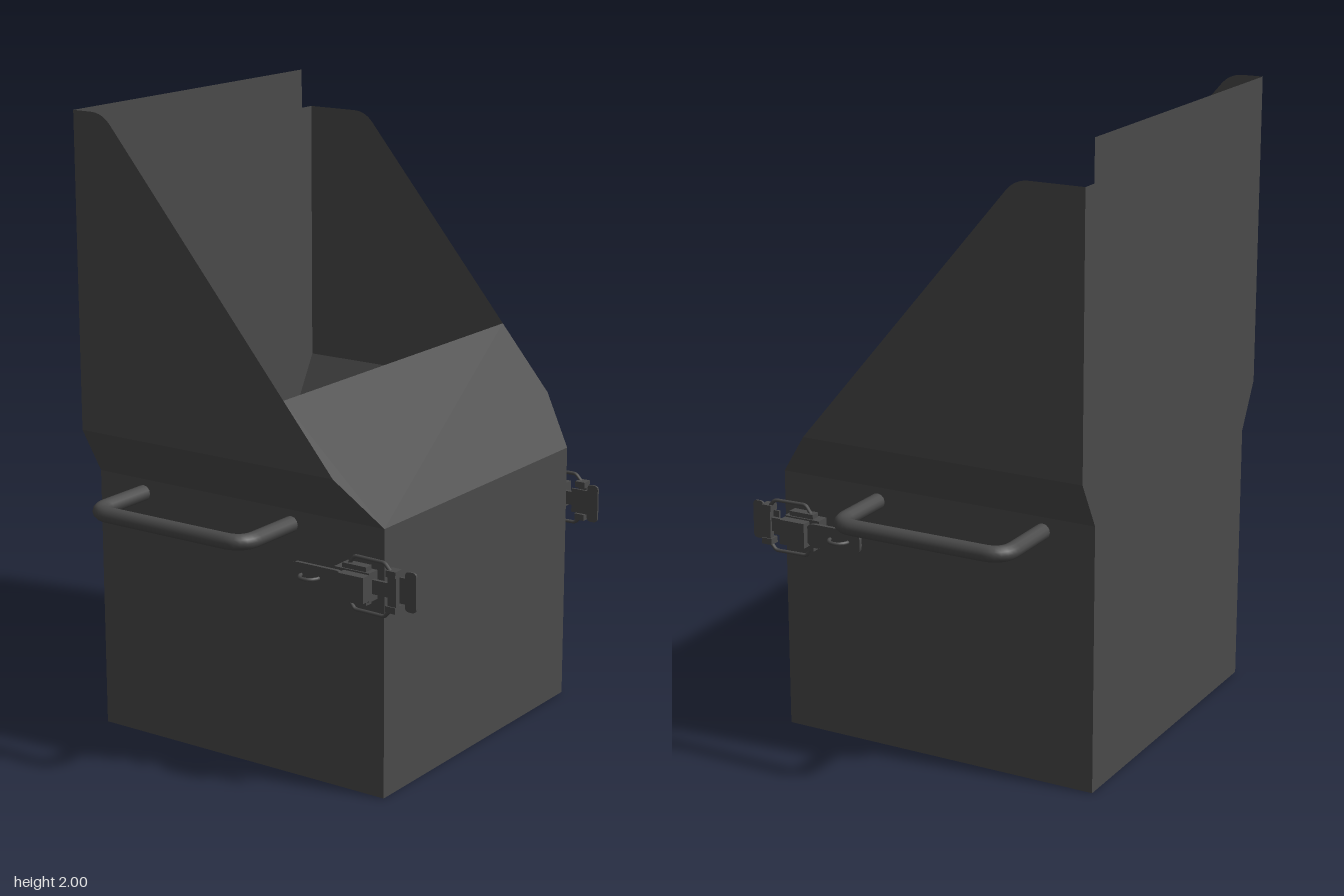
import * as THREE from 'three';

const sheetMat = new THREE.MeshStandardMaterial({ color: 0x4a4a4a, side: THREE.DoubleSide });
const metalMat = new THREE.MeshStandardMaterial({ color: 0x4a4a4a });

// Main dimensions
const BACK = -0.6, FRONT = 0.48;
const ZIN = 0.532, ZOUT = 0.615;      // half widths below and above the flare
const Y1 = 0.85, Y2 = 1.0, YLIP = 1.21;
const SLOPE = 1.19;
const slopeX = (y) => FRONT - (y - Y1) / SLOPE;

// Flat convex sheet from its corners
function sheet(name, pts) {
  const pos = [];
  for (let i = 1; i < pts.length - 1; i++) pos.push(...pts[0], ...pts[i], ...pts[i + 1]);
  const g = new THREE.BufferGeometry();
  g.setAttribute('position', new THREE.Float32BufferAttribute(pos, 3));
  g.computeVertexNormals();
  const m = new THREE.Mesh(g, sheetMat);
  m.name = name;
  return m;
}

// Side wall: straight base, outward flare, sloped upper part with a rounded corner
function sideWall(s, top) {
  const g = new THREE.Group();
  g.name = s > 0 ? 'frontSideWall' : 'rearSideWall';
  const face = (name, pts) => g.add(sheet(name, s > 0 ? pts : pts.reverse()));
  const a = s * ZIN, b = s * ZOUT;
  face('sideBase', [[BACK, 0, a], [FRONT, 0, a], [FRONT, Y1, a], [BACK, Y1, a]]);
  face('sideFlare', [[BACK, Y1, a], [FRONT, Y1, a], [slopeX(Y2), Y2, b], [BACK, Y2, b]]);
  const cx = slopeX(top);
  const corner = new THREE.QuadraticBezierCurve(
    new THREE.Vector2(cx + 0.03, top - 0.03 * SLOPE),
    new THREE.Vector2(cx, top),
    new THREE.Vector2(cx - 0.045, top));
  const round = corner.getPoints(8).map((p) => [p.x, p.y, b]);
  face('sideUpper', [[BACK, Y2, b], [slopeX(Y2), Y2, b], ...round, [BACK, top, b]]);
  return g;
}

function box(name, x0, x1, y0, y1, z0, z1) {
  const m = new THREE.Mesh(new THREE.BoxGeometry(x1 - x0, y1 - y0, z1 - z0), metalMat);
  m.position.set((x0 + x1) / 2, (y0 + y1) / 2, (z0 + z1) / 2);
  m.name = name;
  return m;
}

// Rod along a path with rounded bends
function rod(name, pts, radius, bend, sides = 12) {
  const v = pts.map((p) => new THREE.Vector3(...p));
  const path = new THREE.CurvePath();
  let last = v[0];
  for (let i = 1; i < v.length - 1; i++) {
    const a = v[i].clone().add(v[i - 1].clone().sub(v[i]).setLength(bend));
    const b = v[i].clone().add(v[i + 1].clone().sub(v[i]).setLength(bend));
    path.add(new THREE.LineCurve3(last, a));
    path.add(new THREE.QuadraticBezierCurve3(a, v[i], b));
    last = b;
  }
  path.add(new THREE.LineCurve3(last, v[v.length - 1]));
  const m = new THREE.Mesh(new THREE.TubeGeometry(path, 72, radius, sides, false), metalMat);
  m.name = name;
  return m;
}

// Plate drawn in x/y and given thickness along z
function plate(name, shape, z, depth) {
  const g = new THREE.ExtrudeGeometry(shape, { depth, bevelEnabled: false, curveSegments: 10 });
  const m = new THREE.Mesh(g, metalMat);
  m.position.z = z;
  m.name = name;
  return m;
}

function roundRect(x0, x1, y0, y1, r) {
  const s = new THREE.Shape();
  s.moveTo(x0 + r, y0);
  s.lineTo(x1 - r, y0).quadraticCurveTo(x1, y0, x1, y0 + r);
  s.lineTo(x1, y1 - r).quadraticCurveTo(x1, y1, x1 - r, y1);
  s.lineTo(x0 + r, y1).quadraticCurveTo(x0, y1, x0, y1 - r);
  s.lineTo(x0, y0 + r).quadraticCurveTo(x0, y0, x0 + r, y0);
  return s;
}

// Toggle latch on the +z side
function latch() {
  const g = new THREE.Group();
  const y = 0.675;
  g.add(box('latchBase', 0.33, 0.455, y - 0.045, y + 0.045, ZIN, 0.575));
  g.add(box('latchBody', 0.365, 0.455, y - 0.04, y + 0.04, 0.575, 0.607));
  // Lever with rounded finger end
  g.add(plate('latchLever', roundRect(0.175, 0.37, y - 0.037, y + 0.037, 0.03), 0.575, 0.012));
  // Padlock eye standing on the lever
  const eye = new THREE.Mesh(new THREE.TorusGeometry(0.032, 0.006, 8, 20), metalMat);
  eye.rotation.x = Math.PI / 2;
  eye.position.set(0.25, y, 0.586);
  eye.name = 'latchEye';
  g.add(eye);
  // Bail wires, pivots and cross plate
  for (const s of [-1, 1]) {
    g.add(rod('latchBail', [[0.37, y + s * 0.055, 0.555], [0.39, y + s * 0.083, 0.555],
      [0.5, y + s * 0.083, 0.56], [0.525, y + s * 0.055, 0.56]], 0.006, 0.01, 8));
    g.add(box('latchPivot', 0.355, 0.44, y + s * 0.052 - 0.008, y + s * 0.052 + 0.008, 0.54, 0.57));
    g.add(box('catchEar', 0.51, 0.545, y + s * 0.055 - 0.01, y + s * 0.055 + 0.01, 0.537, 0.572));
  }
  g.add(box('latchHook', 0.515, 0.545, y - 0.06, y + 0.06, 0.55, 0.568));
  g.add(box('latchTongue', 0.455, 0.52, y - 0.022, y + 0.022, 0.548, 0.56));
  g.add(plate('catchPlate', roundRect(0.558, 0.597, y - 0.062, y + 0.062, 0.015), 0.533, 0.007));
  g.add(box('catchStrip', 0.5, 0.565, y - 0.04, y + 0.04, 0.533, 0.54));
  return g;
}

export function createModel() {
  const root = new THREE.Group();
  root.name = 'hopperBin';

  root.add(sideWall(1, 2.0), sideWall(-1, 1.87));

  // Floor, front wall and sloped lip
  root.add(sheet('floor', [[BACK, 0, -ZIN], [FRONT, 0, -ZIN], [FRONT, 0, ZIN], [BACK, 0, ZIN]]));
  root.add(sheet('frontWall', [[FRONT, 0, ZIN], [FRONT, 0, -ZIN], [FRONT, Y1, -ZIN], [FRONT, Y1, ZIN]]));
  const x2 = slopeX(Y2), xl = slopeX(YLIP);
  root.add(sheet('slopedLip', [[FRONT, Y1, ZIN], [FRONT, Y1, -ZIN], [x2, Y2, -ZOUT],
    [xl, YLIP, -ZOUT], [xl, YLIP, ZOUT], [x2, Y2, ZOUT]]));

  // Back wall with a notch at one top corner
  const back = new THREE.Group();
  back.name = 'backWall';
  const bands = [[0, ZIN, -ZIN, Y1, ZIN, -ZIN], [Y1, ZIN, -ZIN, Y2, ZOUT, -ZOUT],
    [Y2, ZOUT, -ZOUT, 1.87, ZOUT, -ZOUT], [1.87, ZOUT, -0.56, 2, ZOUT, -0.56]];
  for (const [ya, p, n, yb, q, m] of bands) {
    back.add(sheet('backPanel', [[BACK, ya, n], [BACK, ya, p], [BACK, yb, q], [BACK, yb, m]]));
  }
  root.add(back);

  // Handles and latches on both sides
  for (const s of [1, -1]) {
    const h = rod('handle', [[-0.427, 0.805, s * 0.525], [-0.427, 0.805, s * 0.775],
      [0.142, 0.805, s * 0.775], [0.142, 0.805, s * 0.525]], 0.025, 0.065);
    const l = latch();
    l.name = 'latch';
    l.scale.z = s;
    root.add(h, l);
  }
  return root;
}
